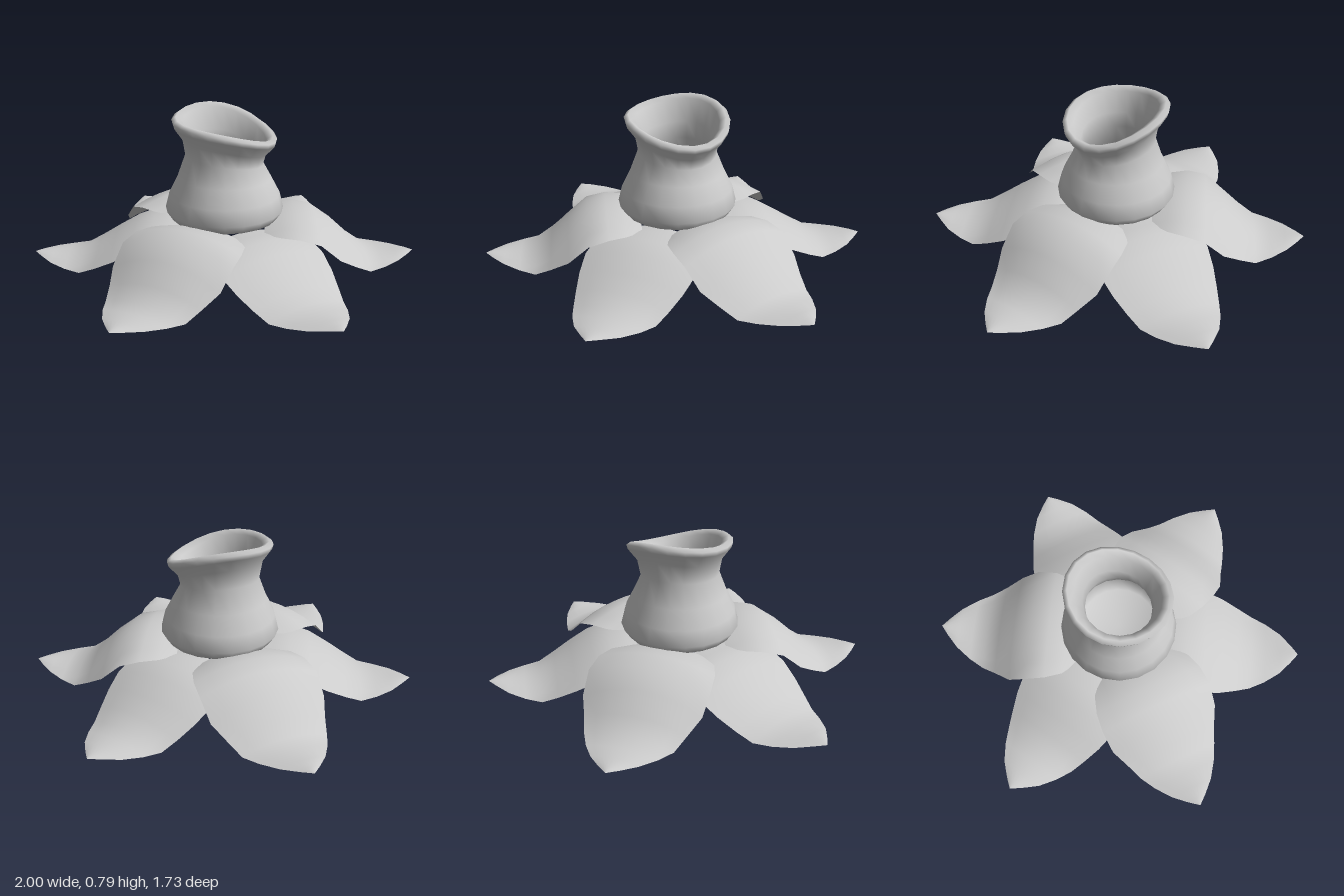
import * as THREE from 'three';
import { mergeVertices } from 'three/addons/utils/BufferGeometryUtils.js';

const material = new THREE.MeshStandardMaterial({ color: 0xcccccc, side: THREE.DoubleSide });

// Petal stations: [radius, half width, centre height, edge height]
const UPPER = [
  [0.20, 0.20, 0.235, 0.20], [0.28, 0.27, 0.255, 0.21], [0.37, 0.30, 0.27, 0.21],
  [0.47, 0.31, 0.25, 0.185], [0.57, 0.30, 0.185, 0.10], [0.66, 0.255, 0.10, 0.045],
  [0.74, 0.22, 0.045, 0.005], [0.82, 0.175, 0.032, 0.01], [0.90, 0.115, 0.035, 0.018],
  [0.96, 0.05, 0.038, 0.025], [1.00, 0.0, 0.03, 0.03],
];
const LOWER = [
  [0.20, 0.18, 0.205, 0.18], [0.28, 0.24, 0.21, 0.18], [0.37, 0.28, 0.212, 0.17],
  [0.47, 0.29, 0.18, 0.13], [0.57, 0.27, 0.125, 0.08], [0.66, 0.24, 0.075, 0.035],
  [0.74, 0.21, 0.04, 0.0], [0.82, 0.17, 0.03, 0.005], [0.90, 0.115, 0.033, 0.015],
  [0.96, 0.05, 0.037, 0.025], [1.00, 0.0, 0.03, 0.03],
];

// Arched sheet through the stations, pointing along +x
function petalGeometry(stations) {
  const n = stations.length;
  const geo = new THREE.PlaneGeometry(1, 1, n - 1, 8).rotateX(-Math.PI / 2);
  const pos = geo.attributes.position;
  for (let i = 0; i < pos.count; i++) {
    const [r, half, mid, edge] = stations[i % n];
    const v = pos.getZ(i) * 2;
    pos.setXYZ(i, r, mid + (edge - mid) * v * v, half * v);
  }
  geo.computeVertexNormals();
  return geo;
}

// Hollow flared cup with a slanted, wavy rim
function cupGeometry() {
  const profile = [
    [0, 0.25], [0.1, 0.22], [0.2, 0.21], [0.275, 0.235], [0.305, 0.28], [0.285, 0.36],
    [0.24, 0.45], [0.2, 0.55], [0.215, 0.63], [0.26, 0.69], [0.267, 0.715], [0.245, 0.73],
    [0.212, 0.71], [0.178, 0.61], [0.168, 0.54], [0.2, 0.43], [0.24, 0.35], [0.2, 0.29], [0, 0.27],
  ].map(([r, y]) => new THREE.Vector2(r, y));
  let geo = new THREE.LatheGeometry(profile, 20);
  const pos = geo.attributes.position;
  for (let i = 0; i < pos.count; i++) {
    const x = pos.getX(i), y = pos.getY(i), z = pos.getZ(i);
    const r = Math.hypot(x, z) || 1;
    const c = x / r, s = z / r;
    const t = THREE.MathUtils.smoothstep(y, 0.4, 0.72);
    pos.setY(i, y + t * (-0.05 * c - 0.025 * s - 0.02 * (c * c - s * s)));
  }
  // Weld the seam so shading stays smooth all round
  geo.deleteAttribute('uv');
  geo.deleteAttribute('normal');
  geo = mergeVertices(geo, 1e-4);
  geo.computeVertexNormals();
  return geo;
}

export function createModel() {
  const flower = new THREE.Group();
  flower.name = 'flower';

  const cup = new THREE.Mesh(cupGeometry(), material);
  cup.name = 'cup';
  flower.add(cup);

  // Two alternating whorls of three petals
  const upper = petalGeometry(UPPER), lower = petalGeometry(LOWER);
  for (let i = 0; i < 6; i++) {
    const petal = new THREE.Mesh(i % 2 ? lower : upper, material);
    petal.name = i % 2 ? 'lowerPetal' : 'upperPetal';
    petal.rotation.y = (i * Math.PI) / 3;
    flower.add(petal);
  }
  return flower;
}
